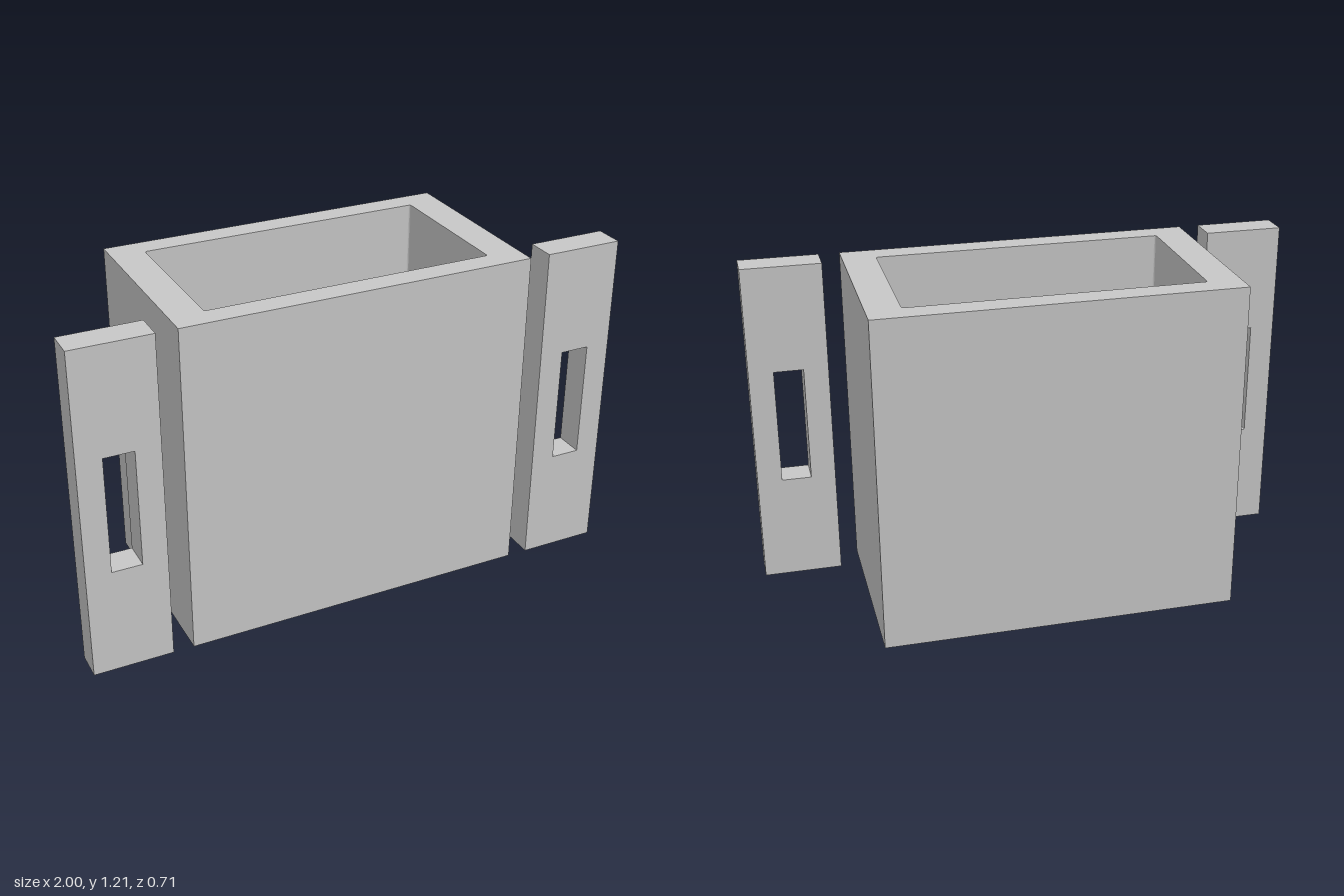
import * as THREE from 'three';
import { toCreasedNormals } from 'three/addons/utils/BufferGeometryUtils.js';

const W = 1.28, D = 0.714, H = 1.214, T = 0.107; // box size and plate thickness

function rect(target, w, h) {
  target.moveTo(-w / 2, -h / 2);
  target.lineTo(w / 2, -h / 2);
  target.lineTo(w / 2, h / 2);
  target.lineTo(-w / 2, h / 2);
  target.closePath();
  return target;
}

// Rectangle path with small rounded corners
function roundedRect(w, h, r) {
  const p = new THREE.Path(), x = w / 2 - r, y = h / 2 - r;
  p.absarc(x, y, r, 0, Math.PI / 2);
  p.absarc(-x, y, r, Math.PI / 2, Math.PI);
  p.absarc(-x, -y, r, Math.PI, Math.PI * 1.5);
  p.absarc(x, -y, r, Math.PI * 1.5, Math.PI * 2);
  p.closePath();
  return p;
}

// Rectangular plate with one hole, extruded along z; the small crease angle keeps flat walls flat
function plate(w, h, depth, hole, curveSegments) {
  const shape = rect(new THREE.Shape(), w, h);
  shape.holes.push(hole);
  const geo = new THREE.ExtrudeGeometry(shape, { depth, bevelEnabled: false, curveSegments });
  return toCreasedNormals(geo, Math.PI / 20);
}

export function createModel() {
  const group = new THREE.Group();
  const grey = new THREE.MeshStandardMaterial({ color: 0xc7c7c7 });
  grey.name = 'lightGrey';

  const add = (name, geo, x, y, z) => {
    const mesh = new THREE.Mesh(geo, grey);
    mesh.name = name;
    mesh.position.set(x, y, z);
    group.add(mesh);
  };

  // Floor with a round drain hole
  const drain = new THREE.Path().absarc(0, 0, 0.108, 0, Math.PI * 2);
  add('floor', plate(W, D, T, drain, 48).rotateX(-Math.PI / 2), 0, 0, 0);

  // Four walls around the open cavity
  const cavity = roundedRect(1.04, 0.54, 0.008);
  add('walls', plate(W, D, H - T, cavity, 2).rotateX(-Math.PI / 2), 0, T, 0);

  // Slotted side plates, flush with the front
  for (const [name, side] of [['leftPlate', 1], ['rightPlate', -1]]) {
    const slot = rect(new THREE.Path(), 0.107, 0.43);
    add(name, plate(0.286, H, T, slot, 1), side * 0.857, H / 2, D / 2 - T);
  }
  return group;
}
